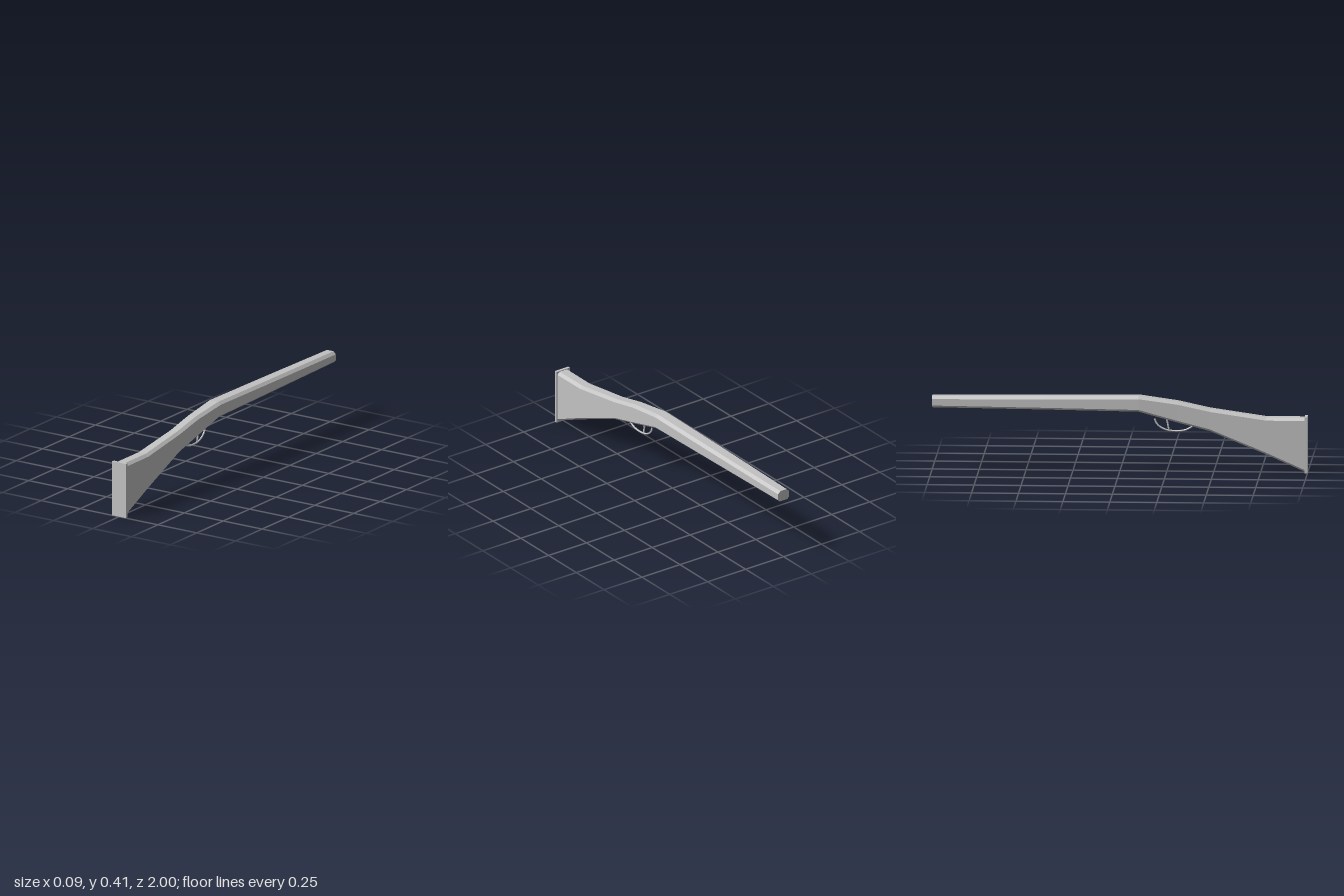
import * as THREE from 'three';

const grey = new THREE.MeshStandardMaterial({ color: 0xc2c2c2, flatShading: true });
grey.name = 'plain grey';

// Bevelled eight-sided cross-section: bevel is larger on top than below
function section([z, top, bottom, w]) {
  const c = 0.015, b = 0.011;
  return [
    [w - c, top], [w, top - c], [w, bottom + b], [w - b, bottom],
    [b - w, bottom], [-w, bottom + b], [-w, top - c], [c - w, top],
  ].map(([x, y]) => new THREE.Vector3(x, y, z));
}

// Skin consecutive cross-sections (ordered from +z to -z) and cap both ends
function loft(rows) {
  const rings = rows.map(section);
  const pos = [];
  const tri = (...pts) => pts.forEach((p) => pos.push(p.x, p.y, p.z));
  for (let i = 0; i < rings.length - 1; i++) {
    const a = rings[i], b = rings[i + 1];
    for (let j = 0; j < 8; j++) {
      const k = (j + 1) % 8;
      tri(a[j], a[k], b[j]);
      tri(a[k], b[k], b[j]);
    }
  }
  const first = rings[0], last = rings[rings.length - 1];
  for (let j = 1; j < 7; j++) {
    tri(first[0], first[j + 1], first[j]);
    tri(last[0], last[j], last[j + 1]);
  }
  const geo = new THREE.BufferGeometry();
  geo.setAttribute('position', new THREE.Float32BufferAttribute(pos, 3));
  geo.computeVertexNormals();
  return geo;
}

export function createModel() {
  const group = new THREE.Group();
  const add = (name, geo) => {
    const mesh = new THREE.Mesh(geo, grey);
    mesh.name = name;
    group.add(mesh);
    return mesh;
  };

  // Stock and barrel in one body: z, top, bottom, half-width
  add('body', loft([
    [0.985, 0.298, 0.008, 0.039],
    [0.78, 0.298, 0.099, 0.038],
    [0.48, 0.342, 0.222, 0.036],
    [0.31, 0.379, 0.266, 0.037],
    [0.1, 0.408, 0.324, 0.042],
    [-0.4, 0.403, 0.331, 0.041],
    [-1, 0.397, 0.337, 0.036],
  ]));

  // Flat plate closing the wide end
  add('buttPlate', new THREE.BoxGeometry(0.088, 0.302, 0.015)).position.set(0, 0.151, 0.9925);

  // Curved loop under the body
  const guardPath = new THREE.CatmullRomCurve3([
    [0.395, 0.249], [0.375, 0.236], [0.345, 0.222], [0.295, 0.217],
    [0.245, 0.224], [0.21, 0.242], [0.19, 0.266], [0.185, 0.284],
  ].map(([z, y]) => new THREE.Vector3(0, y, z)));
  add('triggerGuard', new THREE.TubeGeometry(guardPath, 20, 0.005, 6));

  // Slightly slanted lever inside the loop
  const triggerPath = new THREE.LineCurve3(
    new THREE.Vector3(0, 0.295, 0.247), new THREE.Vector3(0, 0.228, 0.26));
  add('trigger', new THREE.TubeGeometry(triggerPath, 1, 0.005, 6));

  return group;
}
